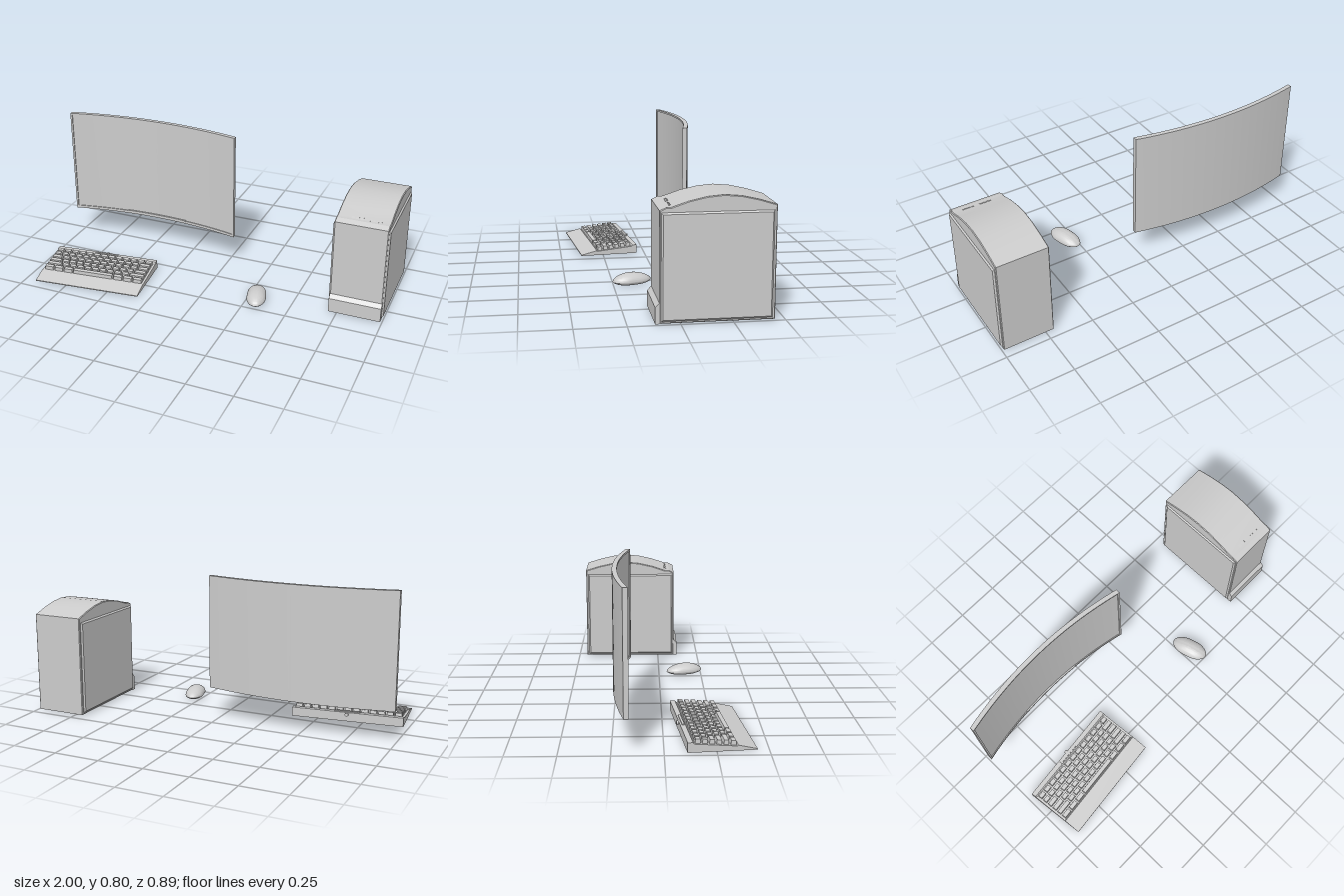
import * as THREE from 'three';
import { toCreasedNormals } from 'three/addons/utils/BufferGeometryUtils.js';

const grey = new THREE.MeshStandardMaterial({ color: 0xcccccc });

function add(parent, name, geo, x = 0, y = 0, z = 0, crease = 0.5) {
  const mesh = new THREE.Mesh(toCreasedNormals(geo, crease), grey);
  mesh.name = name;
  mesh.position.set(x, y, z);
  parent.add(mesh);
  return mesh;
}

// Prism from a side profile of [z, y] points, running along x
function sidePrism(points, width, bevel = 0) {
  const shape = new THREE.Shape(points.map(([z, y]) => new THREE.Vector2(-z, y)));
  const geo = new THREE.ExtrudeGeometry(shape, {
    depth: width - 2 * bevel, bevelEnabled: bevel > 0, bevelSize: bevel,
    bevelThickness: bevel, bevelOffset: -bevel, bevelSegments: 1,
  });
  geo.translate(0, 0, -(width - 2 * bevel) / 2);
  return geo.rotateY(Math.PI / 2);
}

// Curved upright slab; back and front are z offsets from the bowed rear surface
function curvedSlab(x0, x1, y0, y1, back, front, steps = 32) {
  const bow = (x) => -0.25 + 0.061 * (x / 0.52) ** 2;
  const pts = [];
  for (let i = 0; i <= steps; i++) {
    const x = x0 + (x1 - x0) * i / steps;
    pts.push(new THREE.Vector2(x, -(bow(x) + front)));
  }
  for (let i = steps; i >= 0; i--) {
    const x = x0 + (x1 - x0) * i / steps;
    pts.push(new THREE.Vector2(x, -(bow(x) + back)));
  }
  const geo = new THREE.ExtrudeGeometry(new THREE.Shape(pts), { depth: y1 - y0, bevelEnabled: false });
  return geo.rotateX(-Math.PI / 2).translate(0, y0, 0);
}

function makeMonitor() {
  const g = new THREE.Group();
  g.name = 'monitor';
  g.position.x = -0.48;
  add(g, 'screenPanel', curvedSlab(-0.52, 0.52, 0.18, 0.8, 0, 0.02));
  // Slim raised bezel
  add(g, 'bezelTop', curvedSlab(-0.52, 0.52, 0.79, 0.8, 0.02, 0.025));
  add(g, 'bezelBottom', curvedSlab(-0.52, 0.52, 0.18, 0.196, 0.02, 0.025));
  for (const s of [-1, 1]) {
    add(g, 'bezelSide', curvedSlab(Math.min(s * 0.51, s * 0.52), Math.max(s * 0.51, s * 0.52), 0.196, 0.79, 0.02, 0.025, 2));
  }
  add(g, 'lowerBar', curvedSlab(-0.19, 0.19, 0.19, 0.2, 0.02, 0.029, 12));
  return g;
}

function makeTower() {
  const g = new THREE.Group();
  g.name = 'computerTower';
  g.position.x = 0.847;
  // Case with arched top
  add(g, 'case', sidePrism([
    [0.1, 0.004], [0.1, 0.538], [0.07, 0.552], [0.045, 0.553], [-0.035, 0.58],
    [-0.12, 0.599], [-0.2, 0.606], [-0.28, 0.599], [-0.365, 0.58], [-0.45, 0.554], [-0.45, 0.004],
  ], 0.288, 0.004), 0, 0, 0, 0.35);
  add(g, 'frontPlinth', sidePrism([[0.09, 0.003], [0.12, 0.003], [0.12, 0.083], [0.1, 0.104], [0.09, 0.104]], 0.287));
  // Raised side panels with sloping rims
  for (const s of [-1, 1]) {
    add(g, 'sidePanel', sidePrism([[0.093, 0.013], [0.093, 0.53], [-0.438, 0.53], [-0.438, 0.013]], 0.024, 0.009),
      s * 0.14, 0, 0, 0.3);
  }
  // Ports near the front of the top
  const slope = 0.32;
  for (const x of [-0.058, -0.035, -0.012, 0.036, 0.054, 0.072, 0.088]) {
    const wide = x < 0;
    add(g, 'port', new THREE.BoxGeometry(wide ? 0.018 : 0.012, 0.004, wide ? 0.018 : 0.012), x, 0.553, 0.047)
      .rotation.x = slope;
  }
  return g;
}

function makeKeyboard() {
  const g = new THREE.Group();
  g.name = 'keyboard';
  g.position.set(-0.645, 0, 0.245);
  g.rotation.y = 0.105;
  // Wedge base: palm rest, key deck and rear strip
  add(g, 'base', sidePrism([
    [0.168, 0.001], [0.168, 0.006], [0.075, 0.028], [0.07, 0.024],
    [-0.136, 0.043], [-0.142, 0.051], [-0.168, 0.051], [-0.168, 0.001],
  ], 0.618), 0, 0, 0, 0.1);

  const deck = new THREE.Group();
  deck.name = 'keys';
  deck.position.set(0, 0.04, -0.034);
  deck.rotation.x = 0.09;
  g.add(deck);
  // Each row lists key widths in units, scaled to fill the row
  const row = (wide, n, end) => [wide, ...Array(n).fill(1), end];
  const rows = [
    row(1, 11, 1), row(1, 11, 1.6), row(1.4, 10, 1.4),
    row(1.7, 10, 1.7), row(2, 9, 2), [1.2, 1.2, 1.2, 5, 1.2, 1.2, 1.2],
  ];
  const pitch = 0.0345, span = 0.6, gap = 0.008;
  rows.forEach((units, r) => {
    const scale = span / units.reduce((a, b) => a + b);
    let x = -span / 2;
    for (const u of units) {
      const w = u * scale - gap;
      // Key cap tapering toward its top
      const cap = new THREE.BoxGeometry(w, 0.022, pitch - gap);
      const p = cap.attributes.position;
      for (let i = 0; i < p.count; i++) {
        if (p.getY(i) > 0) {
          p.setX(i, p.getX(i) - Math.sign(p.getX(i)) * 0.002);
          p.setZ(i, p.getZ(i) - Math.sign(p.getZ(i)) * 0.002);
        }
      }
      cap.computeVertexNormals();
      add(deck, 'key', cap, x + u * scale / 2, 0.004, (r - 2.5) * pitch + 0.002, 0.05);
      x += u * scale;
    }
  });
  add(g, 'rearBar', new THREE.BoxGeometry(0.14, 0.008, 0.012), 0, 0.052, -0.153);
  const socket = add(g, 'cableSocket', new THREE.CylinderGeometry(0.01, 0.01, 0.014, 16), 0, 0.04, -0.171);
  socket.rotation.x = Math.PI / 2;
  add(g, 'foot', new THREE.CylinderGeometry(0.015, 0.015, 0.002, 20), 0, 0.001, -0.12);
  return g;
}

function makeMouse() {
  // Sphere shaped into a low shell, highest behind the middle, flat below
  const geo = new THREE.SphereGeometry(1, 40, 28);
  const p = geo.attributes.position;
  for (let i = 0; i < p.count; i++) {
    const x = p.getX(i), y = p.getY(i), z = p.getZ(i);
    const waist = 1 - 0.07 * Math.exp(-(((z + 0.05) / 0.35) ** 2));
    const top = 0.044 * (1 - 0.16 * z * z + 0.06 * z);
    const py = y > 0 ? y * top : Math.max(y * 0.024, -0.015);
    const tuck = y < 0 ? 1 + 0.12 * y : 1;
    p.setXYZ(i, x * 0.057 * waist * tuck, py + 0.02, z * 0.107 * tuck);
  }
  geo.computeVertexNormals();
  const g = new THREE.Group();
  g.name = 'mouse';
  g.position.set(0.302, 0, 0.15);
  g.rotation.y = 0.27;
  add(g, 'mouseShell', geo, 0, 0, 0, 0.6);
  return g;
}

export function createModel() {
  const model = new THREE.Group();
  model.name = 'desktopComputer';
  model.add(makeMonitor(), makeTower(), makeKeyboard(), makeMouse());
  return model;
}
